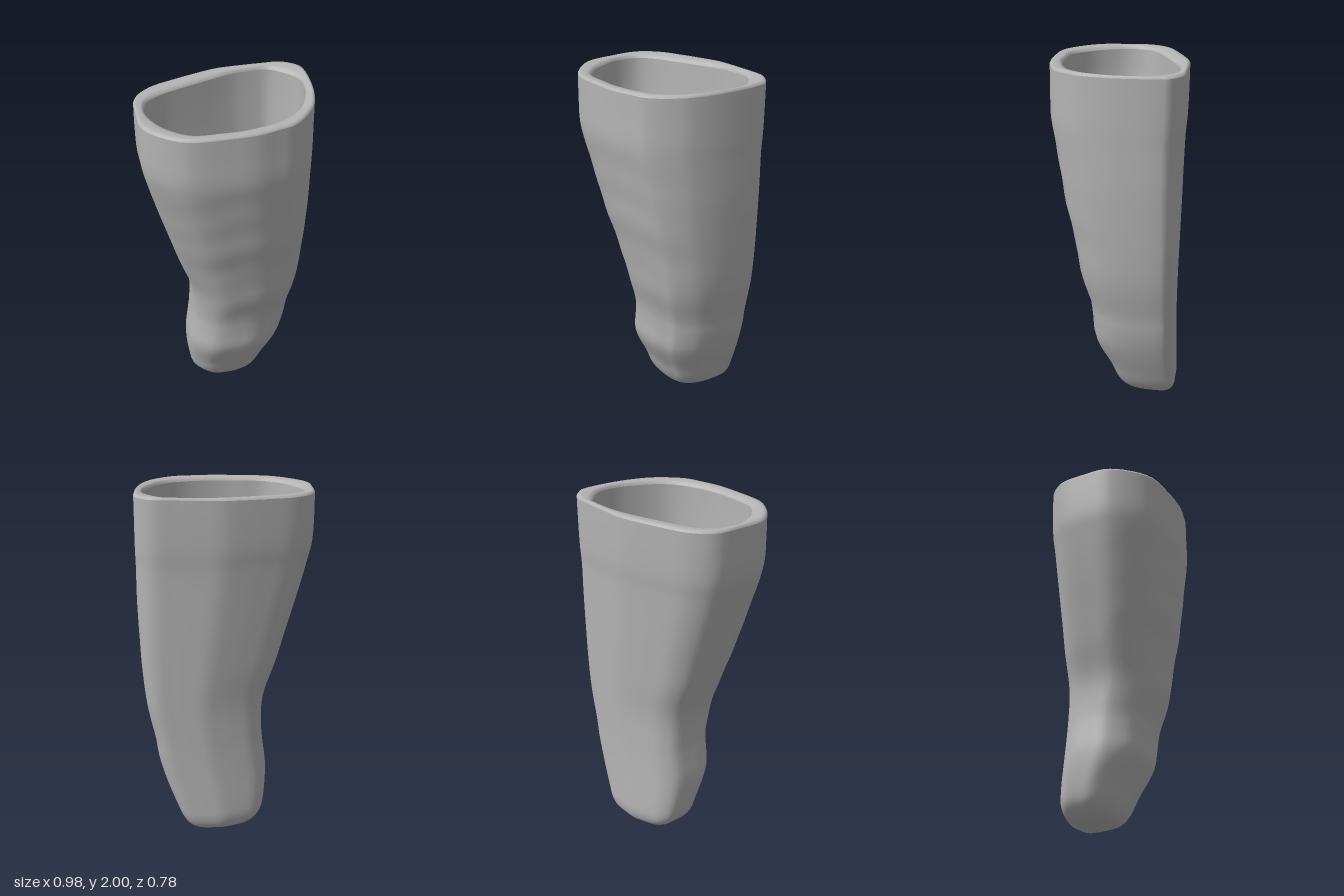
import * as THREE from 'three';

const SEGMENTS = 72;

// Closed plan outline, resampled smoothly; points are [x, z]
function outline(points) {
  const curve = new THREE.CatmullRomCurve3(
    points.map(([x, z]) => new THREE.Vector3(x, 0, z)), true, 'centripetal');
  return Array.from({ length: SEGMENTS }, (_, i) => curve.getPoint(i / SEGMENTS));
}

const outerPlan = outline([
  [-0.49, 0.03], [-0.485, -0.11], [-0.45, -0.18], [-0.37, -0.25], [-0.25, -0.3], [-0.12, -0.345],
  [0.01, -0.382], [0.13, -0.387], [0.27, -0.387], [0.39, -0.38], [0.46, -0.335], [0.487, -0.29],
  [0.487, -0.06], [0.46, 0.08], [0.42, 0.18], [0.30, 0.315], [0.2, 0.35], [0.09, 0.38],
  [-0.06, 0.388], [-0.27, 0.375], [-0.4, 0.29], [-0.48, 0.18]]);

const innerPlan = outline([
  [-0.44, 0.02], [-0.425, -0.08], [-0.39, -0.13], [-0.33, -0.175], [-0.2, -0.23], [-0.1, -0.268],
  [0.0, -0.305], [0.1, -0.335], [0.2, -0.345], [0.29, -0.34], [0.36, -0.29], [0.43, -0.2],
  [0.44, -0.1], [0.42, 0.0], [0.36, 0.14], [0.28, 0.23], [0.15, 0.29], [0.0, 0.32],
  [-0.1, 0.32], [-0.24, 0.31], [-0.35, 0.22], [-0.41, 0.12]]);

// Height, left edge, right edge, back edge, front edge
const outerLevels = [
  [1.975, -0.49, 0.487, -0.387, 0.387], [1.85, -0.49, 0.487, -0.385, 0.387],
  [1.7, -0.483, 0.487, -0.38, 0.387], [1.6, -0.46, 0.485, -0.372, 0.372],
  [1.4, -0.405, 0.484, -0.366, 0.335], [1.2, -0.345, 0.476, -0.362, 0.3],
  [1.0, -0.285, 0.465, -0.357, 0.25], [0.8, -0.217, 0.443, -0.352, 0.215],
  [0.6, -0.21, 0.4, -0.347, 0.16], [0.5, -0.22, 0.385, -0.346, 0.15],
  [0.37, -0.235, 0.35, -0.346, 0.142], [0.2, -0.225, 0.285, -0.348, 0.06],
  [0.11, -0.205, 0.245, -0.346, 0.025], [0.055, -0.16, 0.2, -0.325, -0.01],
  [0.025, -0.105, 0.13, -0.275, -0.055], [0.008, -0.04, 0.065, -0.21, -0.12],
  [0.004, 0.012, 0.013, -0.166, -0.165]];

// The cavity follows the outer wall down to a rounded floor
const innerLevels = [
  [0.055, 0.01, 0.011, -0.17, -0.169], [0.06, -0.04, 0.06, -0.21, -0.12],
  [0.075, -0.1, 0.13, -0.26, -0.07], [0.12, -0.15, 0.19, -0.288, -0.03],
  [0.2, -0.175, 0.235, -0.295, 0.01], [0.4, -0.185, 0.305, -0.298, 0.09],
  [0.6, -0.162, 0.35, -0.3, 0.112], [0.8, -0.168, 0.39, -0.305, 0.16],
  [1.0, -0.232, 0.412, -0.31, 0.195], [1.2, -0.29, 0.42, -0.315, 0.24],
  [1.4, -0.345, 0.428, -0.322, 0.275], [1.6, -0.4, 0.435, -0.33, 0.305],
  [1.8, -0.43, 0.44, -0.34, 0.318], [1.965, -0.44, 0.443, -0.345, 0.321]];

// Smoothly insert extra levels between the listed ones
function refine(levels, steps) {
  const pos = new THREE.CatmullRomCurve3(levels.map(l => new THREE.Vector3(l[1], l[0], l[2])), false, 'centripetal');
  const depth = new THREE.CatmullRomCurve3(levels.map(l => new THREE.Vector3(l[3], l[0], l[4])), false, 'centripetal');
  const count = (levels.length - 1) * steps;
  return Array.from({ length: count + 1 }, (_, i) => {
    const a = pos.getPoint(i / count), b = depth.getPoint(i / count);
    return [a.y, a.x, a.z, b.x, b.z];
  });
}

// The rim rises a little towards the left and the back
const rimTilt = p => 0.018 * p.x - 0.012 * p.z;

// Fit a plan outline into the extents of one level
function ring(plan, [y, x0, x1, z0, z1], wrinkle) {
  const box = new THREE.Box3().setFromPoints(plan);
  const lift = THREE.MathUtils.smoothstep(y, 1.8, 1.965);
  return plan.map(p => {
    const u = (p.x - box.min.x) / (box.max.x - box.min.x);
    const v = (p.z - box.min.z) / (box.max.z - box.min.z);
    // faint sagging folds across the front
    const fade = THREE.MathUtils.smoothstep(y, 0.4, 0.8) * (1 - THREE.MathUtils.smoothstep(y, 1.5, 1.8));
    const fold = wrinkle * fade * v * Math.sin(y * 28 + Math.cos(u * 6) * 1.2);
    return new THREE.Vector3(
      THREE.MathUtils.lerp(x0, x1, u), y + lift * rimTilt(p),
      THREE.MathUtils.lerp(z0, z1, v) + fold);
  });
}

// Skin a list of rings
function loft(rings) {
  const n = SEGMENTS, index = [];
  for (let j = 0; j < rings.length - 1; j++) {
    for (let i = 0; i < n; i++) {
      const a = j * n + i, b = j * n + (i + 1) % n;
      index.push(a, b, b + n, a, b + n, a + n);
    }
  }
  const geometry = new THREE.BufferGeometry().setFromPoints(rings.flat());
  geometry.setIndex(index);
  geometry.computeVertexNormals();
  return geometry;
}

export function createModel() {
  const group = new THREE.Group();
  group.name = 'hollowSleeve';
  const grey = new THREE.MeshStandardMaterial({ color: 0xb4b4b4 });
  grey.name = 'plain grey';

  const add = (name, rings) => {
    const mesh = new THREE.Mesh(loft(rings), grey);
    mesh.name = name;
    group.add(mesh);
  };

  const outerRings = refine(outerLevels, 4).map(l => ring(outerPlan, l, 0.0018));
  const innerRings = refine(innerLevels, 3).map(l => ring(innerPlan, l, 0));

  // Softly rounded lip between the cavity and the outer wall
  const innerEdge = innerRings[innerRings.length - 1], outerEdge = outerRings[0];
  const lip = [0, 0.1, 0.3, 0.5, 0.7, 0.9, 1].map(t => innerEdge.map((p, i) => {
    const q = p.clone().lerp(outerEdge[i], t);
    q.y += 0.016 * Math.sqrt(Math.max(0, 1 - (2 * t - 1) ** 6));
    return q;
  }));

  add('outerWall', outerRings);
  add('innerCavity', innerRings);
  add('rim', lip);
  return group;
}
